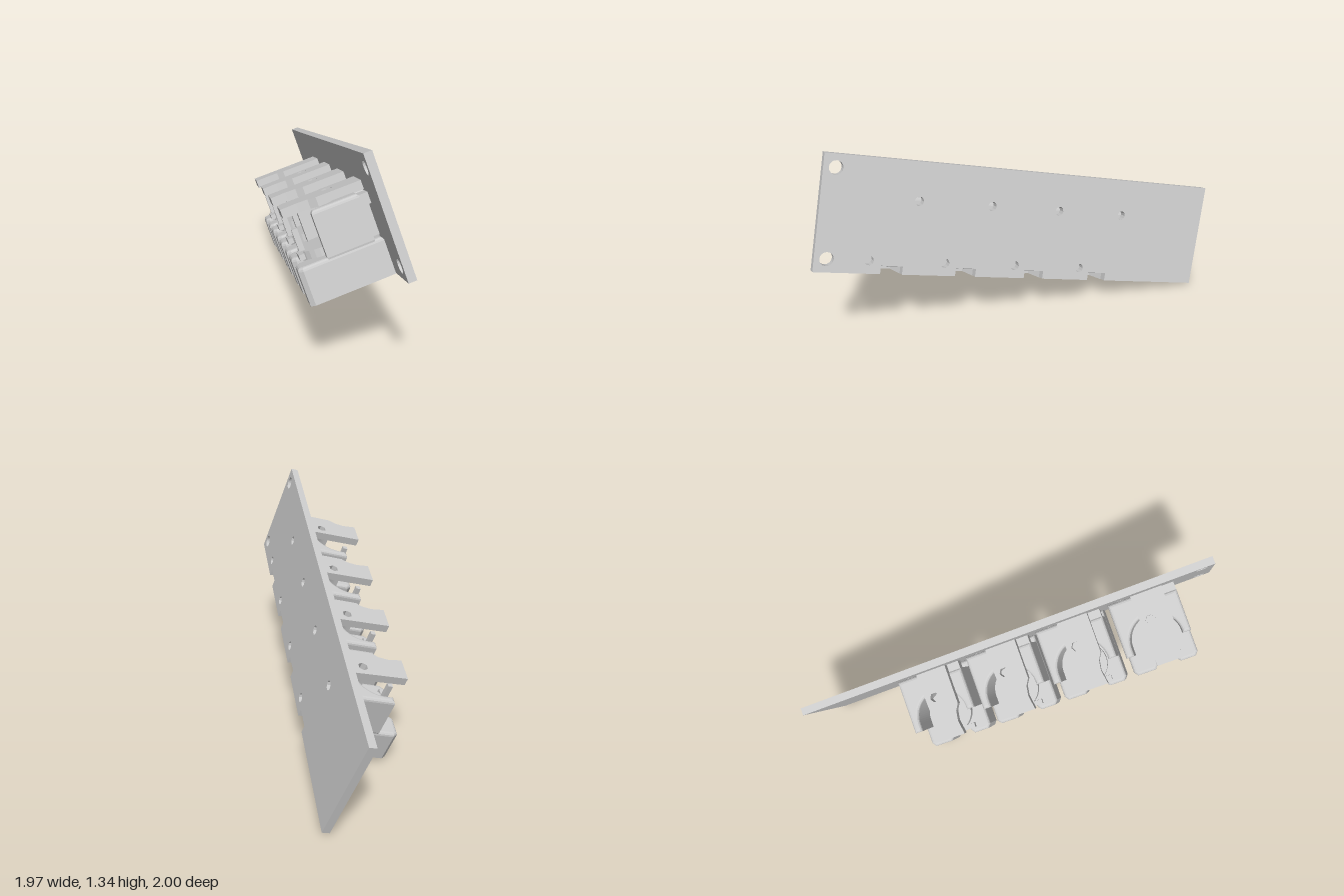
import * as THREE from 'three';

const material = new THREE.MeshStandardMaterial({ color: 0xcccccc, flatShading: true });
const PITCH = 0.46;
const FIRST = 0.85;       // centre of the last holder along the board
const THICK = 0.045;      // board thickness
const units = [0, 1, 2, 3].map((i) => FIRST - i * PITCH);

function part(name, geometry, parent) {
  const mesh = new THREE.Mesh(geometry, material);
  mesh.name = name;
  parent.add(mesh);
  return mesh;
}

const outline = (points) => new THREE.Shape(points.map(([x, y]) => new THREE.Vector2(x, y)));

function addHole(shape, x, y, r, sides) {
  const points = [];
  for (let i = 0; i < sides; i++) {
    const t = (-i / sides) * Math.PI * 2;
    points.push(new THREE.Vector2(x + r * Math.cos(t), y + r * Math.sin(t)));
  }
  shape.holes.push(new THREE.Path(points));
}

// Stands a plan shape (x across, z outward) up between two heights
function slab(shape, bottom, top, bevel = 0) {
  const g = new THREE.ExtrudeGeometry(shape, {
    depth: top - bottom - 2 * bevel, bevelEnabled: bevel > 0, bevelSize: bevel,
    bevelThickness: bevel, bevelOffset: -bevel, bevelSegments: 3, curveSegments: 20,
  });
  return g.rotateX(Math.PI / 2).translate(0, top - bevel, 0);
}

// Board with mounting holes and a notch under each holder
function boardGeometry() {
  const L = 1.294, H = 0.3315;
  const edge = [[-L, H], [-L, -H]];
  for (const a of [...units].reverse()) {
    edge.push([a - 0.07, -H], [a - 0.07, -0.282], [a + 0.06, -0.282], [a + 0.06, -H]);
  }
  edge.push([L, -H], [L, H]);
  const shape = outline(edge);
  for (const y of [-0.255, 0.255]) addHole(shape, 1.223, y, 0.04, 16);
  for (const a of units) {
    addHole(shape, a - 0.122, 0.103, 0.028, 10);
    addHole(shape, a + 0.133, -0.255, 0.028, 10);
  }
  return new THREE.ExtrudeGeometry(shape, { depth: THICK, bevelEnabled: false });
}

// Plan of the lower block: two front feet with a recessed middle
function lowerPlan(channel) {
  const w = 0.205;
  const back = channel
    ? [[-w, THICK], [-0.07, THICK], [-0.045, 0.15], [0.035, 0.15], [0.06, THICK], [w, THICK]]
    : [[-w, THICK], [w, THICK]];
  return outline([...back, [w, 0.48], [0.185, 0.505], [0.09, 0.505], [0.07, 0.48],
    [0.06, 0.43], [-0.04, 0.43], [-0.05, 0.48], [-0.07, 0.505], [-0.185, 0.505], [-w, 0.48]]);
}

// Plan of the upper body: walls around a round pocket open at the front
function upperPlan() {
  const w = 0.205, cz = 0.33, r = 0.155;
  const s = new THREE.Shape();
  s.moveTo(-w, THICK);
  s.lineTo(0.13, THICK);
  s.lineTo(0.13, 0.09);
  s.lineTo(w, 0.09);
  s.lineTo(w, 0.345);
  s.lineTo(r, 0.345);
  s.lineTo(r, cz);
  s.absarc(0, cz, r, 0, Math.PI, true);
  s.lineTo(-r, 0.38);
  s.lineTo(-w, 0.38);
  s.closePath();
  return s;
}

function createHolder() {
  const holder = new THREE.Group();
  holder.name = 'holder';

  // Lower block, with a channel in its underside behind the notch
  part('blockBase', slab(lowerPlan(true), -0.335, -0.28), holder);
  part('block', slab(lowerPlan(false), -0.3, -0.13, 0.02), holder);

  // Walls and the corner pad that closes the side recess
  part('pocketWalls', slab(upperPlan(), -0.15, 0.12, 0.02), holder);
  part('cornerPad', new THREE.BoxGeometry(0.075, 0.06, 0.06), holder).position.set(0.166, 0.08, 0.075);

  // Disc and post in the pocket
  part('pocketDisc', new THREE.CylinderGeometry(0.13, 0.13, 0.05, 28), holder).position.set(0, -0.11, 0.33);
  part('post', new THREE.BoxGeometry(0.03, 0.17, 0.03), holder).position.set(0.03, -0.05, 0.44);
  part('postHook', new THREE.BoxGeometry(0.1, 0.03, 0.03), holder).position.set(0.07, -0.1, 0.455);

  // Top tab with a six-sided screw hole
  const tab = outline([[-0.06, THICK], [0.13, THICK], [0.13, 0.29], [0.105, 0.33],
    [0.095, 0.39], [0.108, 0.477], [-0.046, 0.477]]);
  addHole(tab, 0.005, 0.21, 0.03, 6);
  part('topTab', slab(tab, 0.115, 0.165), holder);
  return holder;
}

export function createModel() {
  const model = new THREE.Group();
  model.name = 'holderBoard';
  part('board', boardGeometry(), model);
  for (const a of units) {
    const holder = createHolder();
    holder.position.x = a;
    model.add(holder);
  }
  // Whole assembly is tilted and turned
  model.rotation.set(0, -Math.PI / 4, 0.403, 'ZYX');
  model.position.set(0.015, 0.676, -0.085);
  const root = new THREE.Group();
  root.name = 'model';
  root.add(model);
  return root;
}
